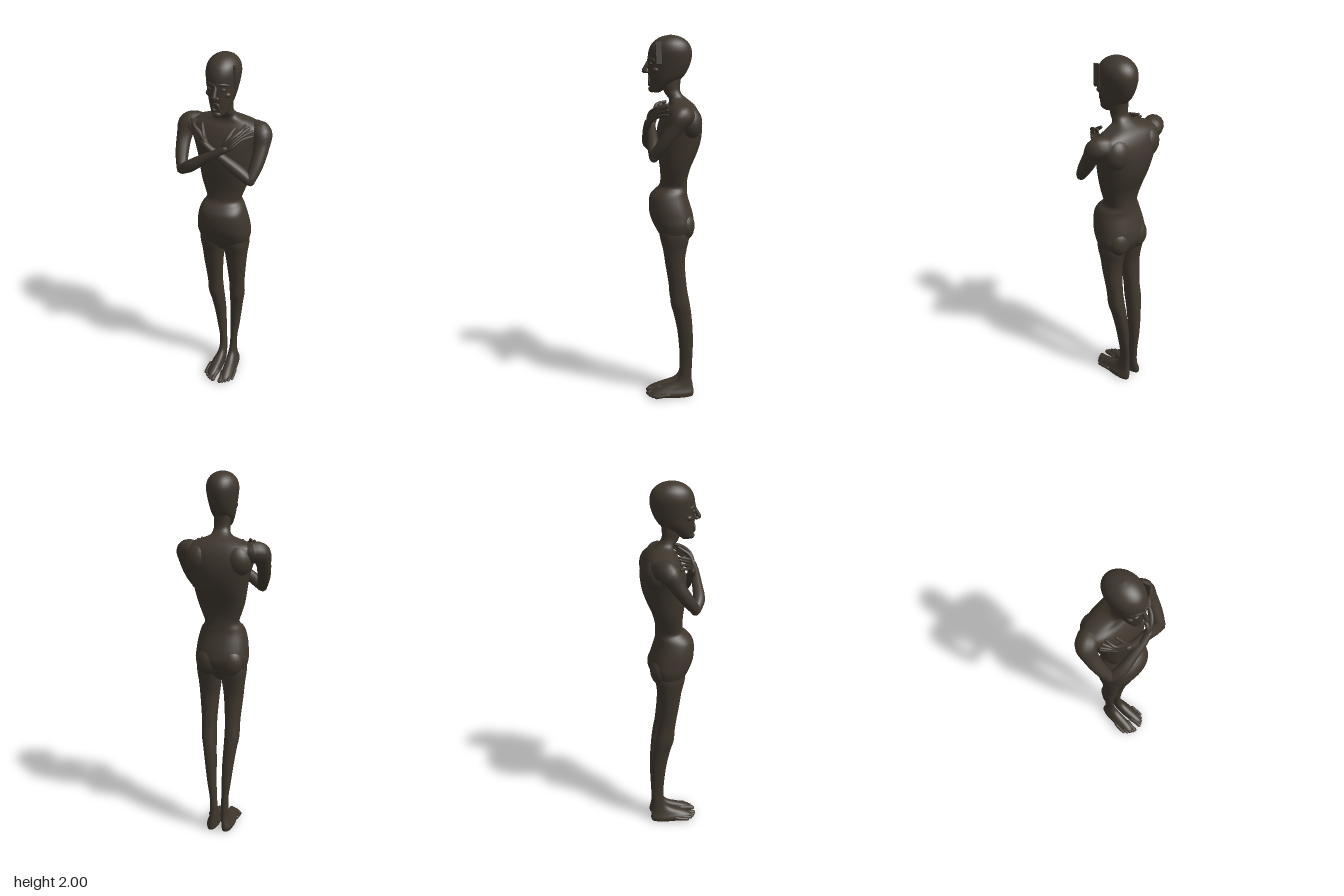
import * as THREE from 'three';

const skinMat = new THREE.MeshStandardMaterial({ color: 0x3f372e });
skinMat.name = 'dark brown skin';
const V = (x, y, z) => new THREE.Vector3(x, y, z);
const MID = 0.0125; // body axis

function add(parent, name, geometry) {
  const mesh = new THREE.Mesh(geometry, skinMat);
  mesh.name = name;
  parent.add(mesh);
  return mesh;
}

// Smooth closed skin over a list of rings, with a fan at each end
function skin(rings) {
  const n = rings[0].length, pos = [], idx = [];
  rings.forEach(r => r.forEach(p => pos.push(p.x, p.y, p.z)));
  for (let i = 0; i < rings.length - 1; i++) {
    for (let j = 0; j < n; j++) {
      const a = i * n + j, b = i * n + (j + 1) % n;
      idx.push(a, a + n, b, b, a + n, b + n);
    }
  }
  [0, rings.length - 1].forEach(k => {
    const c = rings[k].reduce((s, p) => s.add(p), V(0, 0, 0)).divideScalar(n);
    const ci = pos.length / 3;
    pos.push(c.x, c.y, c.z);
    for (let j = 0; j < n; j++) {
      const a = k * n + j, b = k * n + (j + 1) % n;
      if (k === 0) idx.push(ci, a, b); else idx.push(ci, b, a);
    }
  });
  const g = new THREE.BufferGeometry();
  g.setAttribute('position', new THREE.Float32BufferAttribute(pos, 3));
  g.setIndex(idx);
  g.computeVertexNormals();
  return g;
}

// Horizontal sections from bottom to top: [y, xMin, xMax, zMin, zMax]
function loft(sections, power = 1, steps = 5, sides = 32) {
  const curve = (x, z) => new THREE.CatmullRomCurve3(
    sections.map(s => V(s[x], s[0], s[z])), false, 'catmullrom', 0.5);
  const lo = curve(1, 3), hi = curve(2, 4), rings = [];
  const count = (sections.length - 1) * steps;
  const sp = v => Math.sign(v) * Math.abs(v) ** power;
  for (let i = 0; i <= count; i++) {
    const a = lo.getPoint(i / count), b = hi.getPoint(i / count), ring = [];
    for (let j = 0; j < sides; j++) {
      const t = j / sides * Math.PI * 2;
      ring.push(V((a.x + b.x) / 2 + (b.x - a.x) / 2 * sp(Math.cos(t)), a.y,
        (a.z + b.z) / 2 + (b.z - a.z) / 2 * sp(Math.sin(t))));
    }
    rings.push(ring);
  }
  return skin(rings);
}

// Round limb through points [x, y, z, radius], with rounded ends
function limb(points, steps = 6, sides = 14) {
  const curve = new THREE.CatmullRomCurve3(points.map(p => V(p[0], p[1], p[2])));
  const radii = new THREE.CatmullRomCurve3(points.map((p, i) => V(i, p[3], 0)), false, 'catmullrom', 0.5);
  const count = (points.length - 1) * steps, rings = [];
  let normal = V(0, 0, 1);
  const ringAt = (c, t, r) => {
    normal = normal.clone().addScaledVector(t, -normal.dot(t)).normalize();
    const side = normal.clone().cross(t);
    rings.push(Array.from({ length: sides }, (_, j) => {
      const a = j / sides * Math.PI * 2;
      return c.clone().addScaledVector(normal, r * Math.cos(a)).addScaledVector(side, r * Math.sin(a));
    }));
  };
  for (let i = 0; i <= count; i++) {
    const u = i / count, c = curve.getPoint(u), t = curve.getTangent(u), r = radii.getPoint(u).y;
    if (i === 0) [0.25, 0.7].forEach(k => ringAt(c.clone().addScaledVector(t, -r * Math.sqrt(1 - k * k)), t, r * k));
    ringAt(c, t, r);
    if (i === count) [0.7, 0.25].forEach(k => ringAt(c.clone().addScaledVector(t, r * Math.sqrt(1 - k * k)), t, r * k));
  }
  return skin(rings);
}

function ball(parent, name, x, y, z, rx, ry, rz) {
  const mesh = add(parent, name, new THREE.SphereGeometry(1, 20, 14));
  mesh.position.set(x, y, z);
  mesh.scale.set(rx, ry, rz);
  return mesh;
}

function buildLeg(s) {
  const leg = new THREE.Group();
  leg.name = s > 0 ? 'leftLeg' : 'rightLeg';
  // foot, shin, knee and thigh: [y, inner, outer, zMin, zMax]
  const rows = [
    [0.004, 0.008, 0.078, -0.118, 0.125], [0.025, 0.006, 0.08, -0.122, 0.125], [0.05, 0.008, 0.068, -0.119, 0.075],
    [0.08, 0.009, 0.058, -0.113, -0.005], [0.12, 0.011, 0.053, -0.11, -0.04], [0.2, 0.015, 0.053, -0.112, -0.046],
    [0.3, 0.017, 0.067, -0.115, -0.04], [0.4, 0.018, 0.08, -0.113, -0.028], [0.5, 0.022, 0.094, -0.104, -0.008],
    [0.57, 0.024, 0.106, -0.094, 0.01], [0.66, 0.024, 0.108, -0.078, 0.018], [0.8, 0.014, 0.121, -0.066, 0.04],
    [0.88, 0.004, 0.128, -0.075, 0.052], [0.96, -0.005, 0.137, -0.09, 0.07], [1.04, 0.01, 0.125, -0.08, 0.07]];
  add(leg, 'legAndFoot', loft(rows.map(([y, a, b, c, d]) => [y, s > 0 ? a : -b, s > 0 ? b : -a, c, d]), 0.9));
  // toes, the big one on the inside
  for (let i = 0; i < 5; i++) {
    const r = i === 0 ? 0.013 : 0.0095;
    const x = s * (0.022 + i * 0.0155), z = 0.138 - i * i * 0.0028;
    add(leg, 'toe', limb([[x - s * 0.004, 0.024, z - 0.07, r * 1.2], [x, 0.018, z - 0.03, r], [x, 0.013, z, r]], 3, 10));
  }
  leg.position.x = MID;
  return leg;
}

function buildArm(s, depth) {
  const arm = new THREE.Group();
  arm.name = s > 0 ? 'leftArm' : 'rightArm';
  const P = (x, y, z, r) => [s * x, y, z, r];
  add(arm, 'upperArm', limb([P(0.15, 1.6, -0.06, 0.055), P(0.195, 1.597, -0.035, 0.054), P(0.207, 1.54, 0.0, 0.04),
    P(0.2, 1.46, 0.055, 0.034), P(0.184, 1.4, 0.1, 0.027)]));
  add(arm, 'forearm', limb([P(0.184, 1.396, 0.1, 0.026), P(0.13, 1.435, 0.112 + depth, 0.031),
    P(0.05, 1.49, 0.116 + depth, 0.026), P(-0.02, 1.535, 0.118 + depth, 0.02), P(-0.06, 1.562, 0.112 + depth, 0.019)]));
  // fingers fan out from the wrist and form the palm
  const tips = [[0.13, 1.655], [0.152, 1.648], [0.167, 1.63], [0.168, 1.605]];
  tips.forEach(([x, y], i) => {
    const k = i - 1.5;
    add(arm, 'finger', limb([P(-0.05, 1.557 - k * 0.006, 0.11 + depth, 0.014), P(-0.088, 1.59 - k * 0.014, 0.1 + depth, 0.012),
      P(-0.122, 1.618 - k * 0.015, 0.075, 0.0095), P(-x, y, 0.03, 0.007)], 4, 10));
  });
  add(arm, 'thumb', limb([P(-0.05, 1.56, 0.105 + depth, 0.014), P(-0.065, 1.6, 0.1 + depth, 0.012),
    P(-0.085, 1.645, 0.055, 0.008)], 4, 10));
  return arm;
}

function buildHead() {
  const head = new THREE.Group();
  head.name = 'head';
  const rows = [ // [y, half width, zMin, zMax]
    [1.712, 0.016, 0.062, 0.1], [1.725, 0.032, 0.045, 0.114], [1.75, 0.046, 0.0, 0.118], [1.785, 0.06, -0.052, 0.122],
    [1.83, 0.07, -0.083, 0.126], [1.88, 0.079, -0.1, 0.126], [1.92, 0.083, -0.102, 0.121], [1.955, 0.075, -0.089, 0.105],
    [1.98, 0.055, -0.063, 0.077], [1.994, 0.031, -0.031, 0.046], [2, 0.004, 0.002, 0.012]];
  add(head, 'skull', loft(rows.map(([y, w, a, b]) => [y, -w, w, a, b])));
  add(head, 'nose', limb([[0, 1.872, 0.12, 0.008], [0, 1.845, 0.134, 0.01], [0, 1.822, 0.145, 0.0125]], 4, 12));
  for (const s of [-1, 1]) {
    ball(head, 'nostril', s * 0.012, 1.817, 0.132, 0.009, 0.008, 0.011);
    add(head, 'brow', limb([[s * 0.008, 1.877, 0.122, 0.007], [s * 0.03, 1.881, 0.114, 0.008], [s * 0.053, 1.874, 0.094, 0.006]], 4, 10));
    ball(head, 'closedEyelid', s * 0.03, 1.857, 0.11, 0.017, 0.008, 0.012);
    ball(head, 'cheekbone', s * 0.045, 1.825, 0.085, 0.018, 0.015, 0.02);
  }
  // open mouth and jutting chin
  const lips = add(head, 'lips', new THREE.TorusGeometry(0.015, 0.006, 10, 24));
  lips.position.set(0, 1.768, 0.12);
  lips.scale.set(1, 1.15, 1);
  ball(head, 'chin', 0, 1.729, 0.103, 0.023, 0.018, 0.021);
  // flat strip on the left temple
  const strip = add(head, 'templeStrip', new THREE.BoxGeometry(0.012, 0.11, 0.03));
  strip.position.set(0.077, 1.91, 0.072);
  strip.rotation.set(0.03, 0.3, 0.04);
  head.position.x = MID;
  return head;
}

export function createModel() {
  const model = new THREE.Group();
  model.name = 'standingFigure';
  // pelvis, sunken waist, ribcage, shoulders and neck
  add(model, 'torso', loft([
    [0.905, -0.05, 0.075, -0.055, 0.03], [0.95, -0.112, 0.137, -0.092, 0.066], [1.01, -0.132, 0.156, -0.116, 0.1],
    [1.06, -0.13, 0.154, -0.113, 0.12], [1.11, -0.124, 0.148, -0.099, 0.126], [1.16, -0.112, 0.136, -0.084, 0.122],
    [1.19, -0.1, 0.124, -0.08, 0.102], [1.22, -0.081, 0.104, -0.079, 0.07], [1.26, -0.092, 0.115, -0.082, 0.063],
    [1.32, -0.112, 0.135, -0.098, 0.066], [1.39, -0.125, 0.15, -0.128, 0.076], [1.46, -0.138, 0.16, -0.15, 0.082],
    [1.53, -0.158, 0.172, -0.157, 0.078], [1.59, -0.183, 0.192, -0.147, 0.058], [1.63, -0.178, 0.19, -0.129, 0.036],
    [1.655, -0.12, 0.144, -0.108, 0.018], [1.68, -0.048, 0.072, -0.076, 0.018], [1.71, -0.03, 0.056, -0.046, 0.04],
    [1.75, -0.03, 0.055, -0.042, 0.052], [1.81, -0.03, 0.055, -0.05, 0.05]], 0.86));
  for (const s of [-1, 1]) {
    ball(model, 'buttock', MID + s * 0.062, 1.01, -0.062, 0.066, 0.08, 0.056);
    ball(model, 'shoulderBlade', MID + s * 0.1, 1.56, -0.085, 0.075, 0.085, 0.065);
    model.add(buildLeg(s));
  }
  model.add(buildArm(-1, 0.014), buildArm(1, -0.012), buildHead());
  return model;
}
